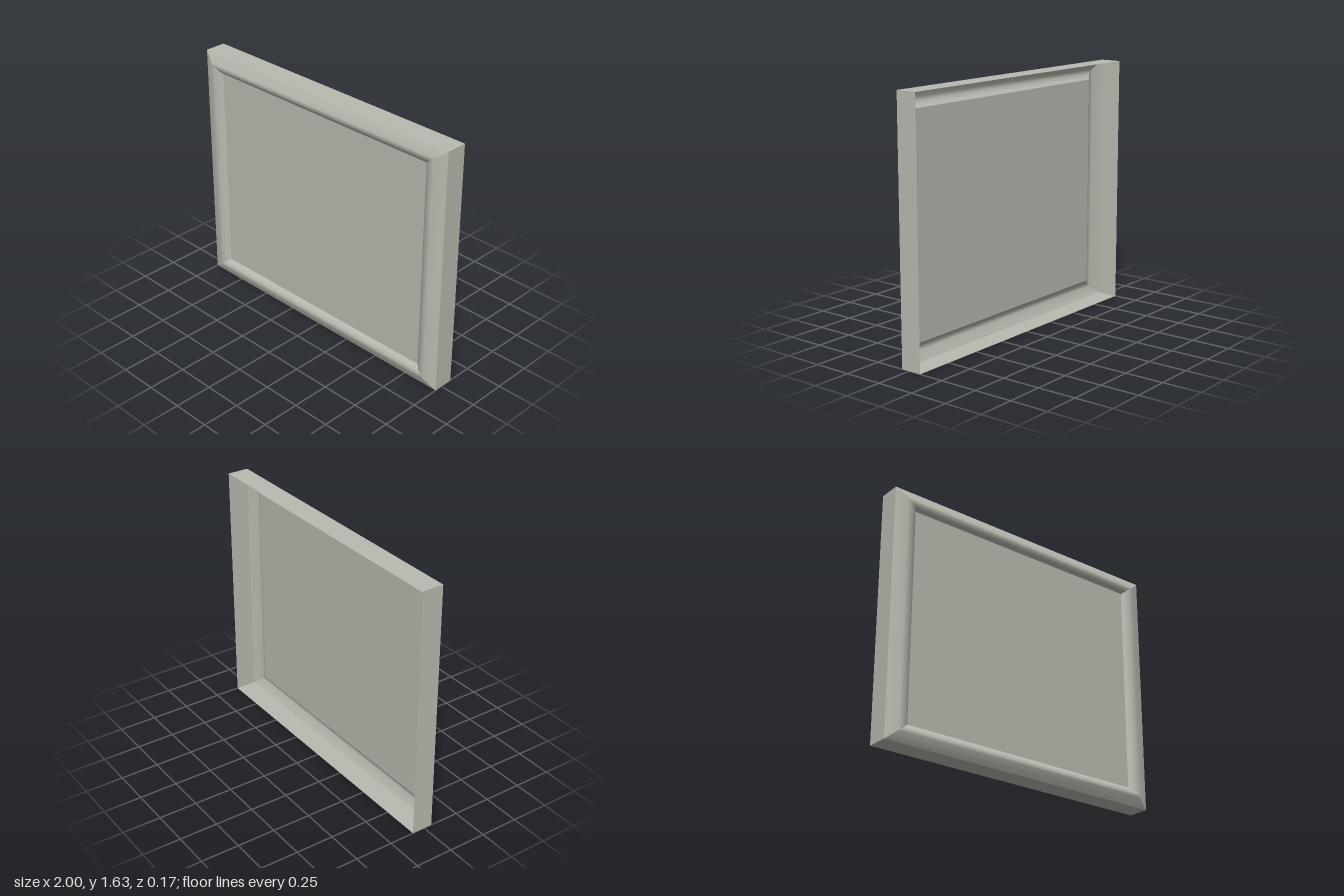
import * as THREE from 'three';

const W = 2, H = 1.63;            // overall width and height
const INSET_X = 0.15, INSET_Y = 0.12; // moulding width at sides and at top/bottom
const BACK = -0.085, RIM = 0.055;

// Moulding cross-section: [fraction of inset, z]
const MOULDING = [[0, RIM], [0.5, 0.085], [0.68, 0.083], [0.85, 0.073], [1, RIM]];
const WALL = [[0, BACK], [0, RIM]];

// Corner i (counter-clockwise from lower left) of the frame at a profile point
function corner(i, [t, z]) {
  const sx = i === 1 || i === 2 ? 1 : -1;
  const sy = i >= 2 ? 1 : -1;
  return [sx * (W / 2 - t * INSET_X), H / 2 + sy * (H / 2 - t * INSET_Y), z];
}

// One mitred side of the frame, swept from corner to corner
function sideStrip(side, profile) {
  const positions = [], index = [];
  profile.forEach((p, k) => {
    positions.push(...corner(side, p), ...corner((side + 1) % 4, p));
    if (k > 0) {
      const a = 2 * k - 2;
      index.push(a, a + 1, a + 3, a, a + 3, a + 2);
    }
  });
  const geometry = new THREE.BufferGeometry();
  geometry.setAttribute('position', new THREE.Float32BufferAttribute(positions, 3));
  geometry.setIndex(index);
  geometry.computeVertexNormals();
  return geometry;
}

export function createModel() {
  const group = new THREE.Group();
  group.name = 'framedPanel';
  const material = new THREE.MeshStandardMaterial({ color: 0xb8bbb0, side: THREE.DoubleSide });
  material.name = 'paleGrey';

  const add = (geometry, name) => {
    const mesh = new THREE.Mesh(geometry, material);
    mesh.name = name;
    group.add(mesh);
    return mesh;
  };

  // Outer walls and raised moulding, open at the back
  ['bottom', 'left', 'top', 'right'].forEach((name, side) => {
    add(sideStrip(side, WALL), name + 'Wall');
    add(sideStrip(side, MOULDING), name + 'Moulding');
  });

  // Flat centre panel
  const panel = add(new THREE.PlaneGeometry(W - 2 * INSET_X, H - 2 * INSET_Y), 'centrePanel');
  panel.position.set(0, H / 2, RIM);

  return group;
}
